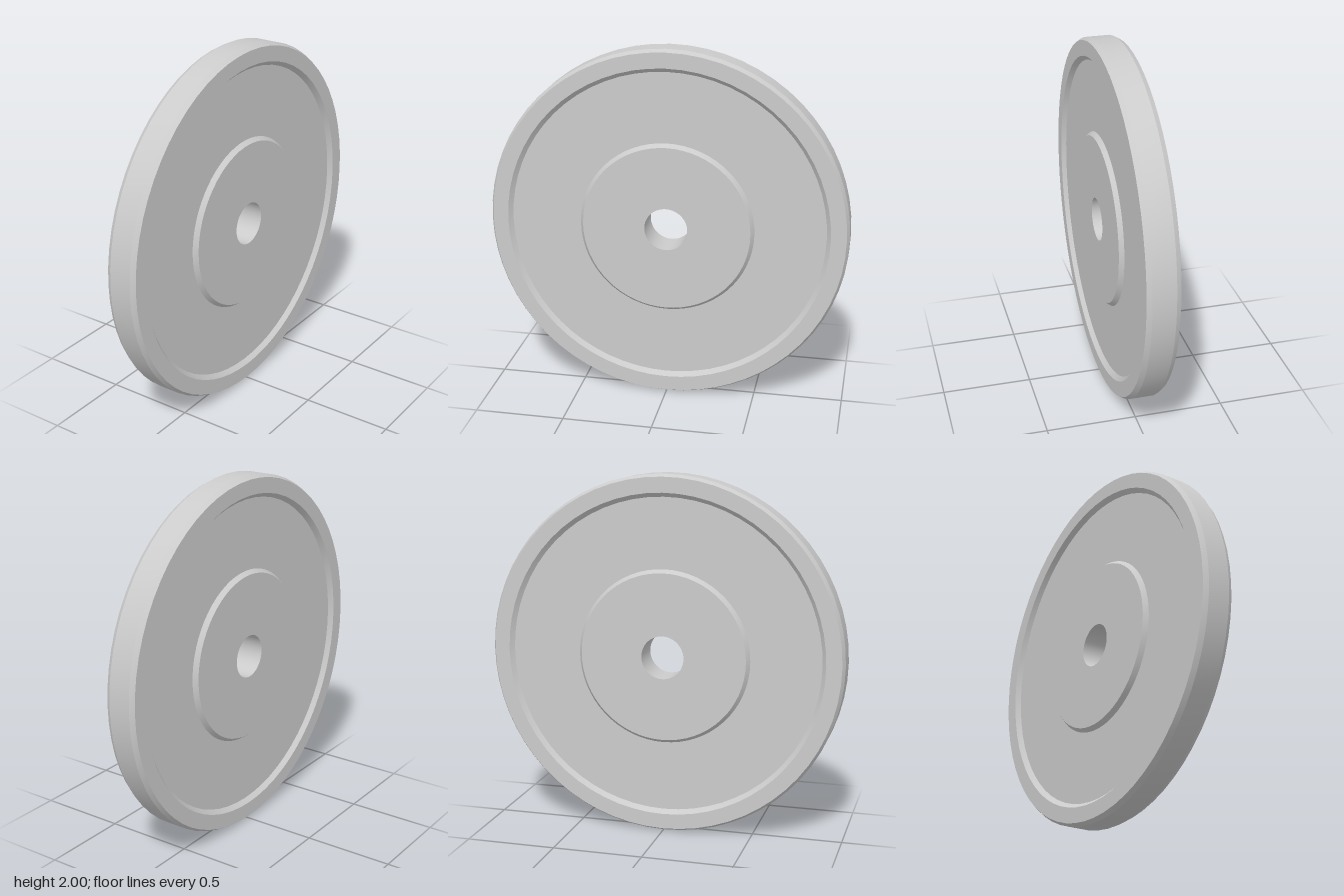
import * as THREE from 'three';
import { toCreasedNormals } from 'three/addons/utils/BufferGeometryUtils.js';

export function createModel() {
  const group = new THREE.Group();
  group.name = 'wheel';

  // Half of the cross-section, from the tread in to the bore: [radius, offset along axle]
  const half = [
    [1.0, 0.062],   // tread edge
    [0.985, 0.088], // chamfer to rim face
    [0.9, 0.088],   // rim inner edge
    [0.877, 0.063], // recessed web
    [0.486, 0.063],
    [0.467, 0.088], // raised hub face
    [0.12, 0.088],  // bore
  ];
  const mirrored = half.map(([r, a]) => [r, -a]).reverse();
  const profile = [...half, ...mirrored, half[0]].map(([r, a]) => new THREE.Vector2(r, a));

  // Solid of revolution, turned so that the axle lies along x
  const geometry = toCreasedNormals(new THREE.LatheGeometry(profile, 64), 0.4);
  geometry.rotateZ(-Math.PI / 2);

  const disc = new THREE.Mesh(geometry, new THREE.MeshStandardMaterial({ color: 0xcccccc }));
  disc.name = 'wheelDisc';
  disc.position.y = 1;
  group.add(disc);
  return group;
}
